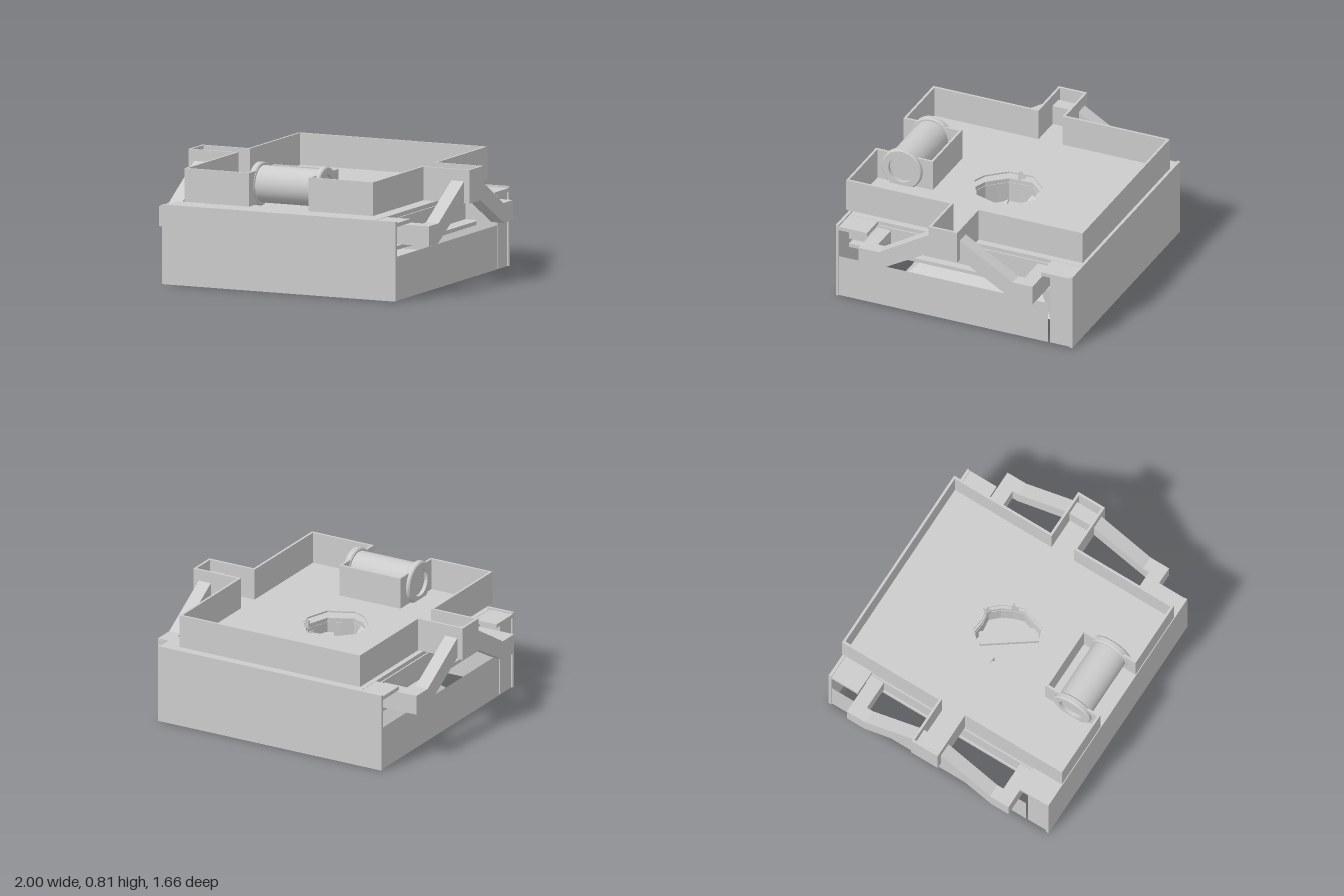
import * as THREE from 'three';

const mat = new THREE.MeshStandardMaterial({ color: 0xcccccc, flatShading: true });
const smooth = new THREE.MeshStandardMaterial({ color: 0xcccccc });
const twoSided = new THREE.MeshStandardMaterial({ color: 0xcccccc, flatShading: true, side: THREE.DoubleSide });

export function createModel() {
  const model = new THREE.Group();

  const add = (name, geo, material = mat) => {
    const mesh = new THREE.Mesh(geo, material);
    mesh.name = name;
    model.add(mesh);
    return mesh;
  };
  // Box given by its limits
  const box = (name, x0, x1, y0, y1, z0, z1) =>
    add(name, new THREE.BoxGeometry(Math.abs(x1 - x0), y1 - y0, Math.abs(z1 - z0))
      .translate((x0 + x1) / 2, (y0 + y1) / 2, (z0 + z1) / 2));
  const pts = (list) => list.map(([x, y]) => new THREE.Vector2(x, y));
  // Flat plan (x, z) extruded between two heights
  const slab = (name, outline, holes, y0, y1) => {
    const shape = new THREE.Shape(pts(outline));
    holes.forEach((h) => shape.holes.push(new THREE.Path(pts(h))));
    const geo = new THREE.ExtrudeGeometry(shape, { depth: y1 - y0, bevelEnabled: false });
    return add(name, geo.rotateX(Math.PI / 2).translate(0, y1, 0));
  };
  const rect = (w, d) => [[-w, -d], [w, -d], [w, d], [-w, d]];

  // Jagged opening through the tray and the body
  const jag = [0.21, 0.2, 0.225, 0.21, 0.235, 0.22, 0.2, 0.21, 0.2, 0.22, 0.205, 0.225, 0.2, 0.23, 0.21, 0.2];
  const hole = (s) => jag.map((r, i) => {
    const a = (i / jag.length) * Math.PI * 2;
    return [Math.cos(a) * r * s, Math.sin(a) * r * s];
  });

  // Base underside with its tapered recess
  const under = new THREE.Shape(pts(rect(0.83, 0.83)));
  under.holes.push(new THREE.Path(pts(rect(0.55, 0.55))));
  add('baseUnderside', new THREE.ShapeGeometry(under).rotateX(Math.PI / 2));
  add('recessWalls', new THREE.CylinderGeometry(0.42 * Math.SQRT2, 0.55 * Math.SQRT2, 0.13, 4, 1, true)
    .rotateY(Math.PI / 4).translate(0, 0.065, 0), twoSided);
  add('recessCeiling', new THREE.PlaneGeometry(0.84, 0.84).rotateX(Math.PI / 2).translate(0, 0.13, 0), twoSided);

  // Base walls, corner posts and side panels; each half is the other turned by 180 degrees
  for (const s of [1, -1]) {
    box('endWall', -0.83, 0.83, 0, 0.515, s * 0.81, s * 0.83);
    box('cornerPost', s * 0.67, s * 0.82, 0, 0.505, s * -0.67, s * -0.82);
    for (const t of [1, -1]) box('cornerShelf', s * 0.66, s * 0.83, 0.48, 0.505, t * 0.61, t * 0.82);
    add('sidePanel', new THREE.PlaneGeometry(1.48, 0.285).rotateY(s * Math.PI / 2)
      .translate(s * 0.822, 0.1425, s * 0.085));
  }
  box('lowerPlate', -0.67, 0.67, 0.275, 0.3, -0.82, 0.82);

  // Four clips between the lower plate and the body
  for (let i = 0; i < 4; i++) {
    const clip = new THREE.Group();
    clip.name = 'clip';
    [[0.1, 0.215, 0.05, 0.24], [0.13, 0.025, 0.09, 0.323]].forEach(([w, h, d, y]) => {
      const part = new THREE.Mesh(new THREE.BoxGeometry(w, h, d), mat);
      part.position.set(0, y, 0.31);
      clip.add(part);
    });
    // Clip feet, just proud of the recess ceiling
    for (const s of [1, -1]) {
      const foot = new THREE.Mesh(new THREE.BoxGeometry(0.03, 0.012, 0.09), mat);
      foot.position.set(s * 0.05, 0.13, 0.31);
      clip.add(foot);
    }
    clip.rotation.y = i * Math.PI / 2;
    model.add(clip);
  }
  box('centreBlock', -0.2, 0.2, 0.3, 0.345, -0.2, 0.2);

  // Middle body
  slab('body', rect(0.67, 0.82), [hole(0.95)], 0.335, 0.48);
  slab('bodyLid', rect(0.66, 0.81), [hole(0.97)], 0.48, 0.507);

  // Diagonal bar seen down the opening
  add('innerBar', new THREE.BoxGeometry(0.38, 0.03, 0.09).rotateY(-0.95).translate(0.04, 0.4, -0.02));

  // Open tray with side pockets and a notch for the roller; t insets the outline
  const tray = (t) => [
    [-0.67 + t, -0.83 + t], [0.67 - t, -0.83 + t], [0.67 - t, -0.1 + t], [1 - t, -0.1 + t],
    [1 - t, 0.1 - t], [0.67 - t, 0.1 - t], [0.67 - t, 0.83 - t], [0.21 + t, 0.83 - t],
    [0.21 + t, 0.44 - t], [-0.21 - t, 0.44 - t], [-0.21 - t, 0.83 - t], [-0.67 + t, 0.83 - t],
    [-0.67 + t, 0.1 - t], [-1 + t, 0.1 - t], [-1 + t, -0.1 + t], [-0.67 + t, -0.1 + t],
  ];
  slab('trayWalls', tray(0), [tray(0.016)], 0.543, 0.76);
  slab('trayFloor', tray(0.002), [hole(1)], 0.543, 0.553);

  // Broken shards around the opening
  [[0.09, -0.27], [0.25, -0.09], [-0.27, -0.01]].forEach(([x, z]) => {
    const r = Math.hypot(x, z);
    add('shard', new THREE.ConeGeometry(0.035, 0.09, 3).rotateZ(-Math.PI / 2)
      .translate(r - 0.045, 0, 0).rotateY(Math.atan2(-z, x)).translate(0, 0.54, 0));
  });

  // Bent side arms and their feet
  const armProfile = [
    [-0.61, 0.335], [-0.48, 0.335], [-0.1, 0.55], [0.1, 0.55], [0.48, 0.335], [0.61, 0.335],
    [0.61, 0.465], [0.47, 0.465], [0.1, 0.685], [-0.1, 0.685], [-0.47, 0.465], [-0.61, 0.465],
  ];
  for (const s of [1, -1]) {
    const geo = new THREE.ExtrudeGeometry(new THREE.Shape(pts(armProfile)), { depth: 0.09, bevelEnabled: false });
    add('sideArm', geo.rotateY(-Math.PI / 2).translate(s > 0 ? 0.96 : -0.87, 0, 0));
    for (const t of [1, -1]) box('armFoot', s * 0.66, s * 0.875, 0.335, 0.465, t * 0.515, t * 0.61);
  }

  // Hollow flanged roller: half-section (radius, length along the axis), doubled creases stay sharp
  const section = [
    [0.09, -0.25], [0.132, -0.25], [0.14, -0.242], [0.14, -0.213], [0.132, -0.205], [0.12, -0.205],
    [0.12, 0.205], [0.132, 0.205], [0.14, 0.213], [0.14, 0.242], [0.132, 0.25], [0.09, 0.25], [0.09, -0.25],
  ];
  const roller = new THREE.Group();
  roller.name = 'roller';
  for (let i = 0; i < section.length - 1; i++) {
    const band = new THREE.Mesh(new THREE.LatheGeometry(pts([section[i], section[i + 1]]), 40), smooth);
    band.name = 'rollerBand';
    roller.add(band);
  }
  roller.rotation.z = Math.PI / 2;
  roller.position.set(0, 0.665, 0.635);
  model.add(roller);

  return model;
}
